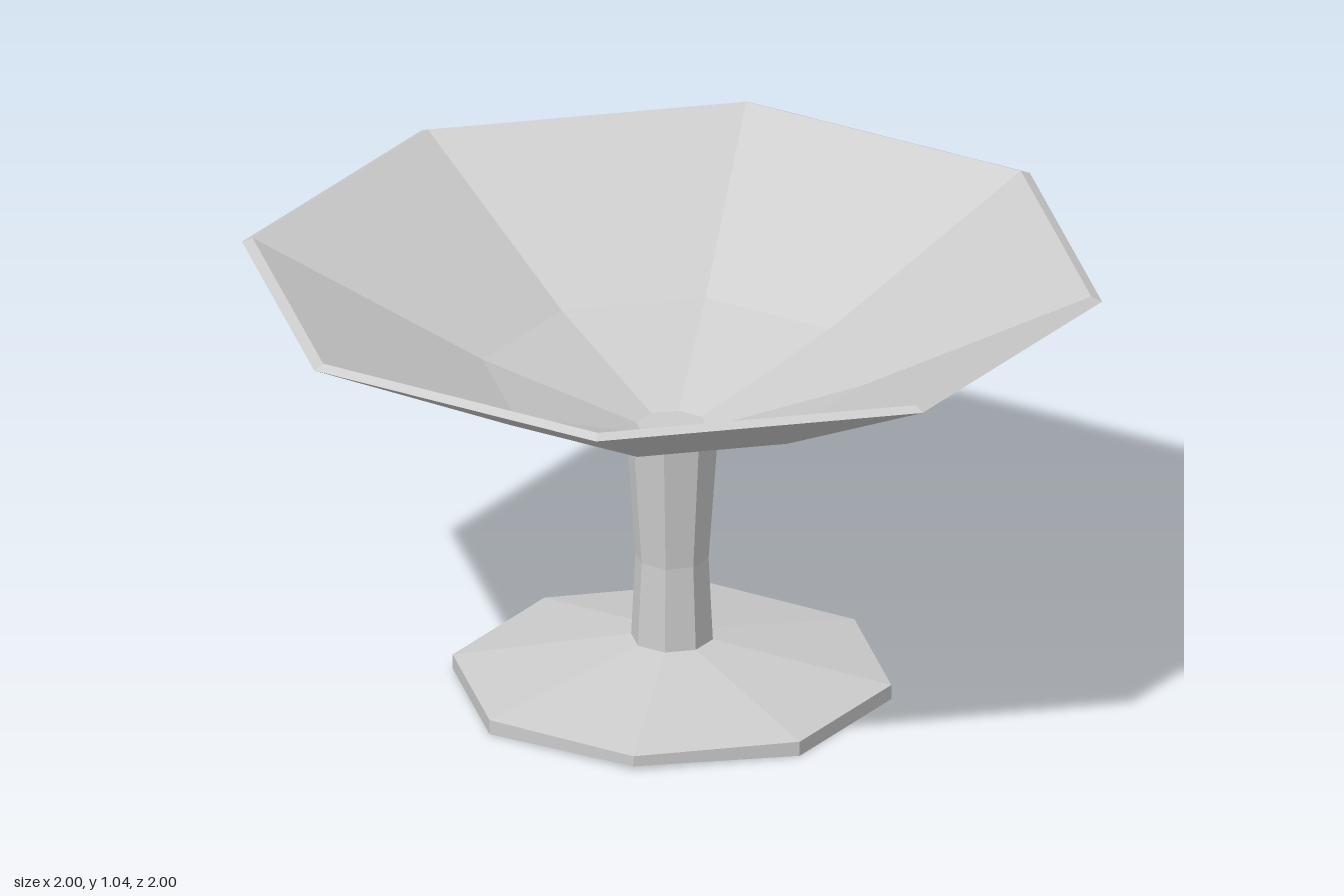
import * as THREE from 'three';

const SIDES = 8;
const material = new THREE.MeshStandardMaterial({ color: 0xcccccc, flatShading: true });

// Eight-sided turned part from [radius, height] pairs, corners on the axes
function turned(name, profile) {
  const points = profile.map(([r, y]) => new THREE.Vector2(r, y));
  const mesh = new THREE.Mesh(new THREE.LatheGeometry(points, SIDES), material);
  mesh.name = name;
  return mesh;
}

export function createModel() {
  const group = new THREE.Group();
  group.name = 'pedestalBowl';

  // Wide foot with a thin edge and a shallow slope up to the stem
  const foot = turned('foot', [[0, 0], [0.51, 0], [0.51, 0.035], [0.095, 0.118]]);
  // The front and back corners of the underside lift slightly
  const pos = foot.geometry.attributes.position;
  for (let i = 0; i < pos.count; i++) {
    if (pos.getY(i) < 0.001 && Math.abs(pos.getZ(i)) > 0.5) pos.setY(i, 0.01);
  }
  foot.geometry.computeVertexNormals();

  // Waisted stem
  const stem = turned('stem', [[0.095, 0.118], [0.085, 0.32], [0.107, 0.63]]);

  // Flared bowl: outer wall, bevelled rim, inner wall and small flat floor
  const bowl = turned('bowl', [
    [0.107, 0.63], [0.46, 0.76], [1, 1.027],
    [0.975, 1.038], [0.44, 0.775], [0.083, 0.645], [0, 0.645],
  ]);

  group.add(foot, stem, bowl);
  return group;
}
